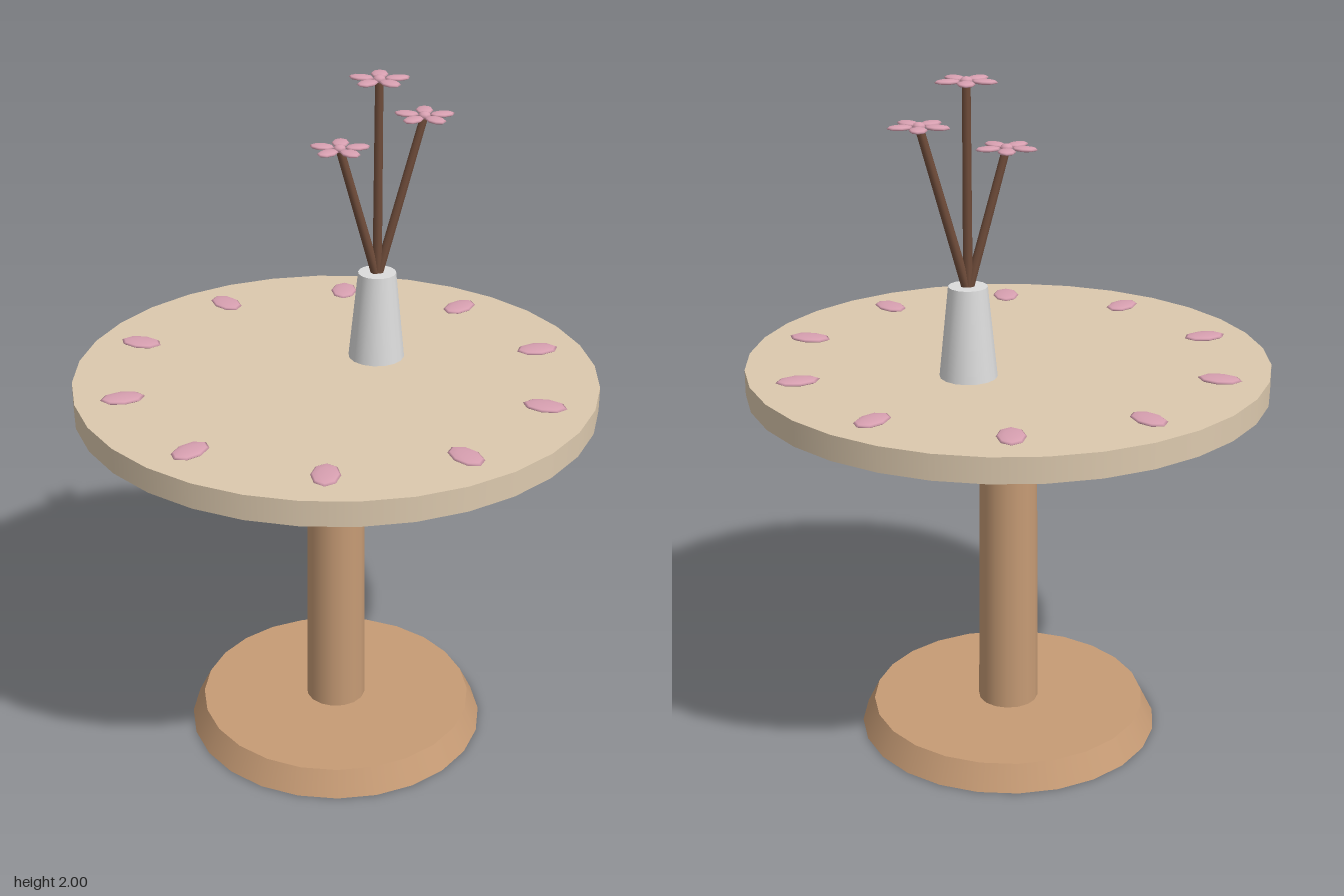
import * as THREE from 'three';

const paint = (name, color) => {
  const m = new THREE.MeshStandardMaterial({ color });
  m.name = name;
  return m;
};

export function createModel() {
  const model = new THREE.Group();
  model.name = 'pedestalTable';

  const cream = paint('cream top', 0xdcc9ae);
  const wood = paint('warm wood', 0xc69b75);
  const white = paint('white ceramic', 0xdcdcdc);
  const brown = paint('brown stem', 0x6f4c3a);
  const pink = paint('pink petal', 0xd8a0b1);

  const add = (parent, name, geometry, material, x = 0, y = 0, z = 0) => {
    const mesh = new THREE.Mesh(geometry, material);
    mesh.name = name;
    mesh.position.set(x, y, z);
    parent.add(mesh);
    return mesh;
  };

  // Upright tapered cylinder between two heights
  const column = (name, rTop, rBottom, y0, y1, sides, material, x = 0, z = 0) =>
    add(model, name, new THREE.CylinderGeometry(rTop, rBottom, y1 - y0, sides), material, x, (y0 + y1) / 2, z);

  // Table
  column('base', 0.41, 0.447, 0, 0.075, 24, wood);
  column('pedestal', 0.083, 0.09, 0.07, 1.1, 16, wood);
  column('tabletop', 0.75, 0.75, 1.09, 1.163, 32, cream);

  // Ring of flattened petals, each pointing outward
  const petalRing = (parent, name, count, radius, length, thickness, width) => {
    const geometry = new THREE.SphereGeometry(1, 8, 6).scale(length, thickness, width);
    for (let i = 0; i < count; i++) {
      const a = (i / count) * Math.PI * 2;
      const petal = add(parent, name, geometry, pink, Math.cos(a) * radius, 0, Math.sin(a) * radius);
      petal.rotation.y = -a;
    }
  };

  // Petals laid around the tabletop
  const scattered = new THREE.Group();
  scattered.name = 'tabletopPetals';
  scattered.position.y = 1.167;
  petalRing(scattered, 'tabletopPetal', 10, 0.615, 0.063, 0.008, 0.04);
  model.add(scattered);

  // Vase
  const vx = 0.15, vz = -0.097;
  column('vase', 0.055, 0.082, 1.16, 1.423, 16, white, vx, vz);

  // Three stems, each topped with a five-petal flower
  const root = new THREE.Vector3(vx, 1.405, vz);
  for (const [x, y] of [[0.038, 1.8], [0.15, 1.987], [0.282, 1.874]]) {
    const tip = new THREE.Vector3(x, y, vz);
    const along = tip.clone().sub(root);
    const stem = add(model, 'stem', new THREE.CylinderGeometry(0.012, 0.014, along.length(), 8), brown);
    stem.position.copy(root).addScaledVector(along, 0.5);
    stem.quaternion.setFromUnitVectors(new THREE.Vector3(0, 1, 0), along.normalize());

    const flower = new THREE.Group();
    flower.name = 'flower';
    flower.position.copy(tip);
    petalRing(flower, 'flowerPetal', 5, 0.052, 0.036, 0.007, 0.025);
    add(flower, 'flowerCentre', new THREE.SphereGeometry(1, 8, 6).scale(0.018, 0.012, 0.018), pink);
    model.add(flower);
  }

  return model;
}
